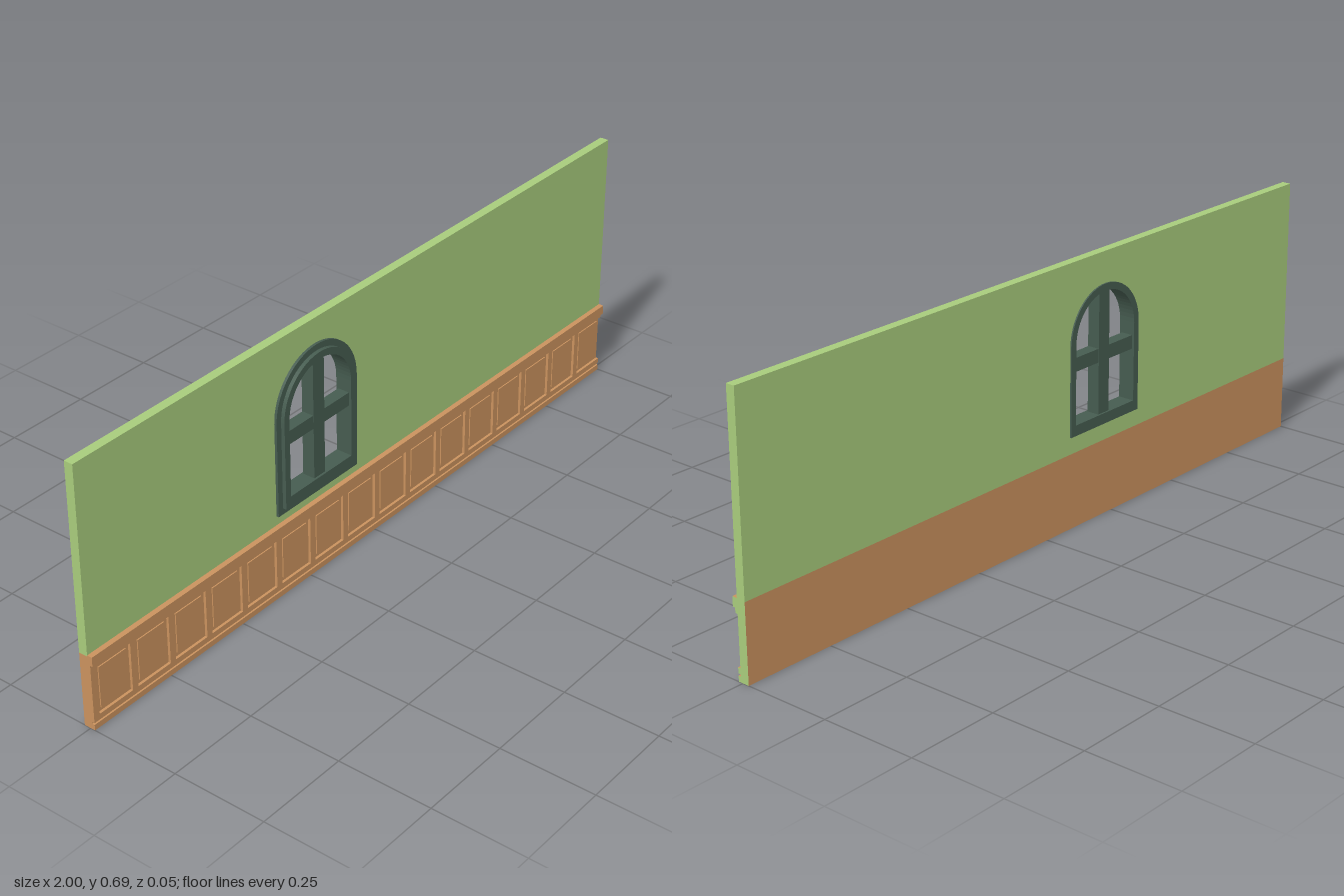
import * as THREE from 'three';

export function createModel() {
  const model = new THREE.Group();
  model.name = 'windowWall';
  const mat = (name, color) => {
    const m = new THREE.MeshStandardMaterial({ color });
    m.name = name;
    return m;
  };
  const green = mat('green paint', 0xa8cc7c);
  const wood = mat('brown wood', 0xca925e);
  const frame = mat('dark green frame', 0x465c50);

  const add = (parent, name, geometry, material) => {
    const mesh = new THREE.Mesh(geometry, material);
    mesh.name = name;
    parent.add(mesh);
    return mesh;
  };
  // Box given by its limits on each axis
  const box = (parent, name, x0, x1, y0, y1, z0, z1, material) => {
    const g = new THREE.BoxGeometry(x1 - x0, y1 - y0, z1 - z0);
    g.translate((x0 + x1) / 2, (y0 + y1) / 2, (z0 + z1) / 2);
    return add(parent, name, g, material);
  };
  // Wood with a painted end on the +x side
  const paintedEnd = [green, wood, wood, wood, wood, wood];

  // Round-topped outline around the window's centre line
  const cx = -0.217, spring = 0.48;
  const arch = (Type, r, bottom) => {
    const p = new Type();
    p.moveTo(cx - r, bottom);
    p.lineTo(cx + r, bottom);
    p.lineTo(cx + r, spring);
    p.absarc(cx, spring, r, 0, Math.PI, false);
    p.closePath();
    return p;
  };
  const extrude = (shape, z0, z1) => {
    const g = new THREE.ExtrudeGeometry(shape, { depth: z1 - z0, bevelEnabled: false, curveSegments: 16 });
    return g.translate(0, 0, z0);
  };

  // Wall: painted upper part with the window opening, wooden lower part
  const back = -0.018, face = 0.006, split = 0.2, top = 0.693;
  const upper = new THREE.Shape();
  upper.moveTo(-1, split);
  upper.lineTo(1, split);
  upper.lineTo(1, top);
  upper.lineTo(-1, top);
  upper.closePath();
  upper.holes.push(arch(THREE.Path, 0.122, 0.255));
  add(model, 'upperWall', extrude(upper, back, face), green);
  box(model, 'lowerWall', -1, 1, 0, split, back, face, paintedEnd);

  // Panelling: skirting, rails, stiles and raised panels
  const panelling = new THREE.Group();
  panelling.name = 'panelling';
  model.add(panelling);
  box(panelling, 'skirting', -1, 1, 0, 0.015, face, 0.013, paintedEnd);
  box(panelling, 'bottomRail', -1, 1, 0.02, 0.035, face, 0.013, paintedEnd);
  box(panelling, 'topRail', -1, 1, 0.165, 0.178, face, 0.013, paintedEnd);
  box(panelling, 'chairRail', -1, 1, 0.178, 0.203, face, 0.02, paintedEnd);
  const bays = 16, pitch = 2 / bays, stile = 0.018;
  for (let i = 0; i < bays; i++) {
    const x = -1 + i * pitch;
    box(panelling, 'stile', x, x + stile, 0.035, 0.165, face, 0.013, wood);
    box(panelling, 'panel', x + stile + 0.01, x + pitch - 0.01, 0.045, 0.155, face, 0.009, wood);
  }

  // Window: flat casing on the wall, deep arched frame and crossed bars
  const win = new THREE.Group();
  win.name = 'window';
  model.add(win);
  const ring = (name, rOut, yOut, rIn, yIn, z0, z1) => {
    const s = arch(THREE.Shape, rOut, yOut);
    s.holes.push(arch(THREE.Path, rIn, yIn));
    add(win, name, extrude(s, z0, z1), frame);
  };
  ring('casing', 0.147, 0.228, 0.125, 0.252, face, 0.013);
  ring('archedFrame', 0.131, 0.245, 0.113, 0.273, -0.022, 0.023);
  box(win, 'uprightBar', cx - 0.02, cx + 0.02, 0.265, 0.6, -0.017, 0.017, frame);
  box(win, 'crossBar', cx - 0.118, cx + 0.118, 0.41, 0.446, -0.016, 0.016, frame);

  return model;
}
